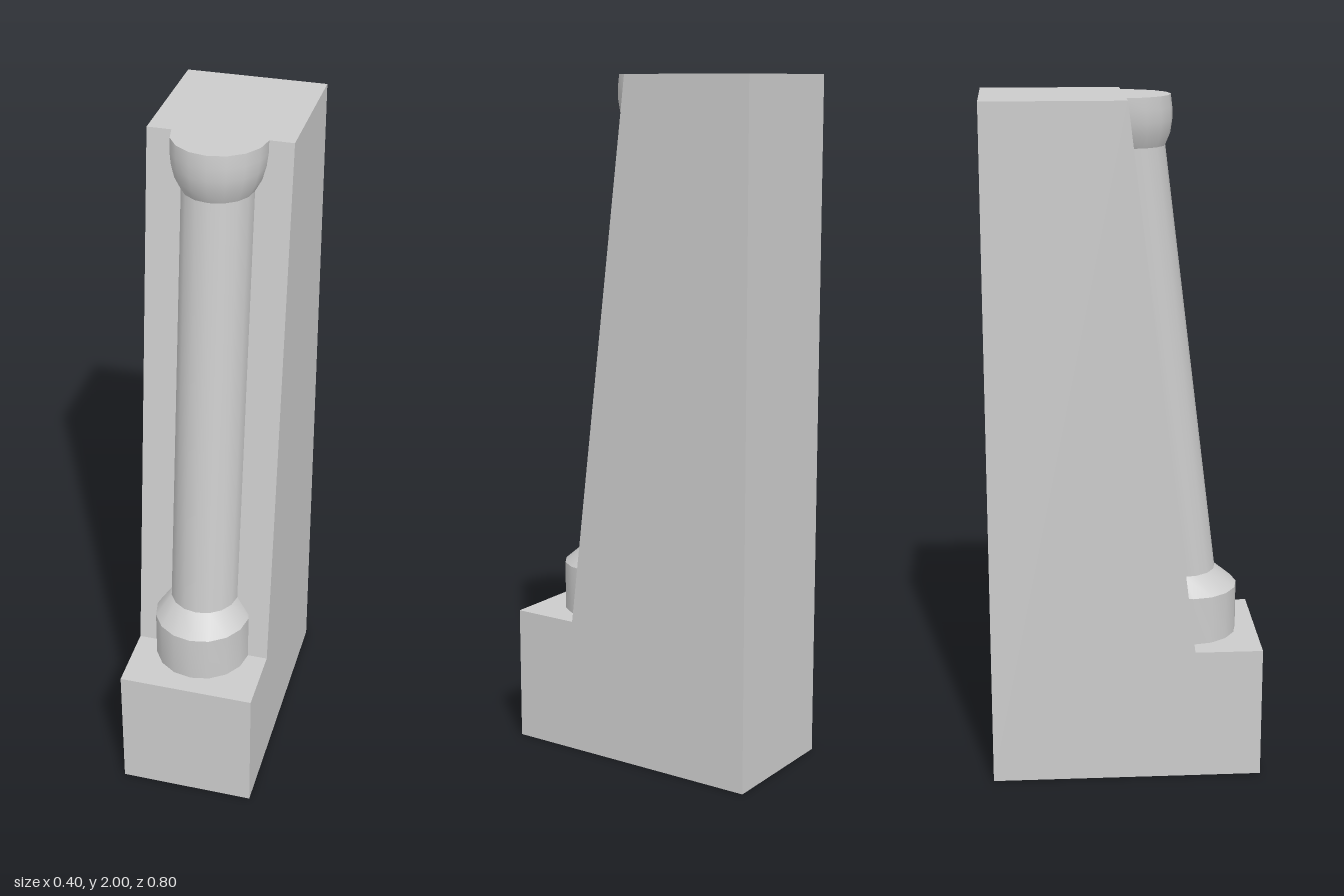
import * as THREE from 'three';
import { toCreasedNormals } from 'three/addons/utils/BufferGeometryUtils.js';

const SLOPE_FOOT = 0.4;   // height where the sloping front face starts
const FOOT_Z = 0.2;       // depth of the sloping face at its foot, reaching z = 0 at y = 2
const slopeZ = (y) => FOOT_Z - (y - SLOPE_FOOT) / 8;

export function createModel() {
  const group = new THREE.Group();
  const material = new THREE.MeshStandardMaterial({ color: 0xcccccc });
  const add = (name, geometry) => {
    const mesh = new THREE.Mesh(geometry, material);
    mesh.name = name;
    group.add(mesh);
    return mesh;
  };

  // Buttress block: side profile as [z, y], extruded across the width
  const profile = [[0.4, 0], [0.4, 0.4], [0.2, 0.4], [0, 2], [-0.4, 2], [-0.4, 0]];
  const shape = new THREE.Shape(profile.map(([z, y]) => new THREE.Vector2(-z, y)));
  const block = new THREE.ExtrudeGeometry(shape, { depth: 0.4, bevelEnabled: false });
  block.translate(0, 0, -0.2).rotateY(Math.PI / 2);
  add('buttress', block);

  // Turned parts: [radius, y] profiles sheared to lean along the sloping face
  const turned = (name, points) => {
    const geometry = new THREE.LatheGeometry(points.map(([r, y]) => new THREE.Vector2(r, y)), 16);
    const pos = geometry.attributes.position;
    for (let i = 0; i < pos.count; i++) {
      const y = pos.getY(i);
      pos.setZ(i, pos.getZ(i) + (y < 0.55 ? FOOT_Z : slopeZ(y)));
    }
    add(name, toCreasedNormals(geometry, 0.5));
  };
  turned('columnBase', [[0.141, 0.4], [0.141, 0.545], [0.1, 0.6]]);
  turned('columnShaft', [[0.1, 0.6], [0.1, 1.86]]);
  turned('capital', [[0.1, 1.86], [0.118, 1.893], [0.128, 1.93], [0.132, 1.965], [0.132, 2]]);

  // Flat top of the capital, in front of the block
  const cap = new THREE.CircleGeometry(0.132, 8, Math.PI, Math.PI);
  cap.rotateX(-Math.PI / 2);
  add('capitalTop', cap).position.y = 2;

  return group;
}
